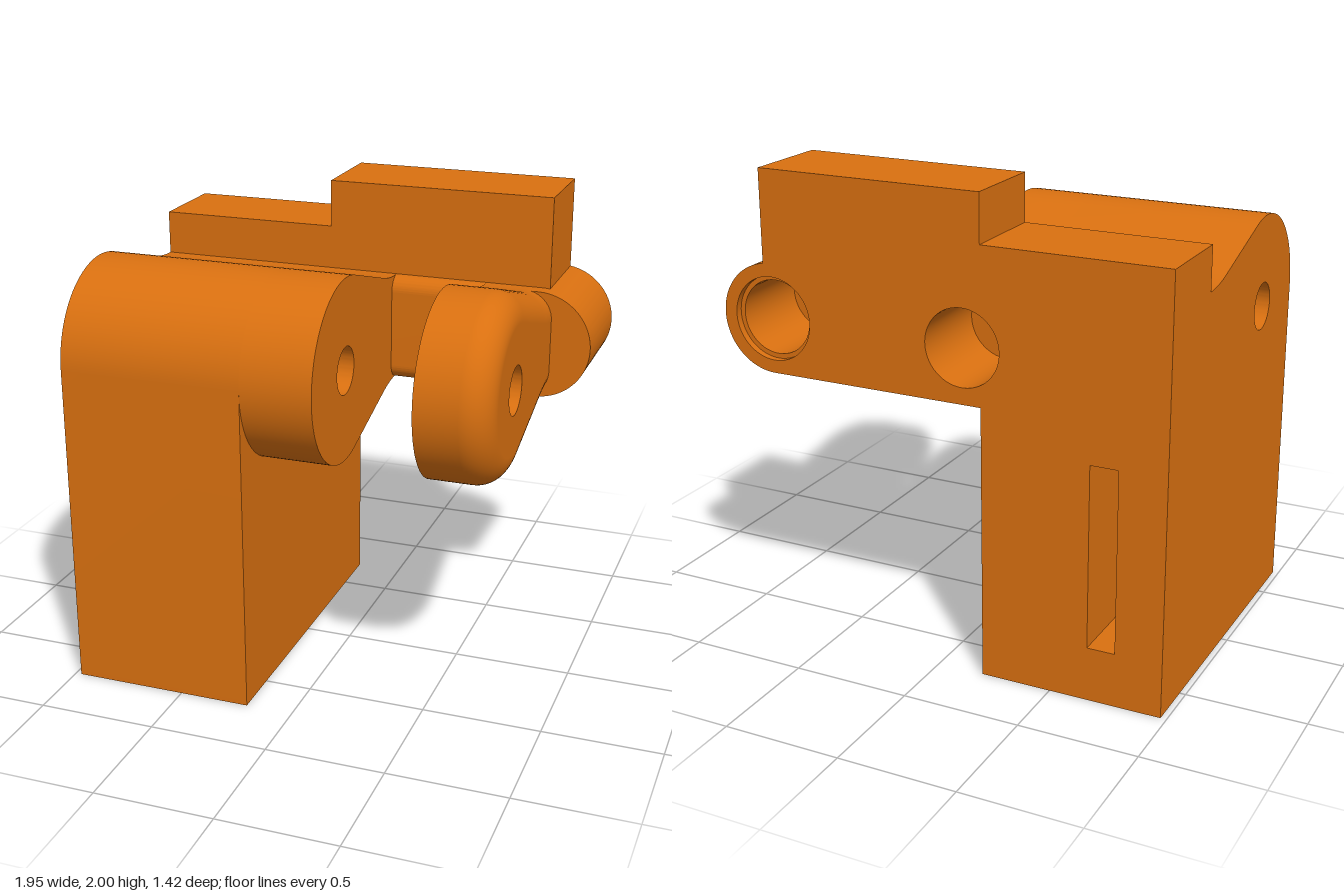
import * as THREE from 'three';
import { toCreasedNormals } from 'three/addons/utils/BufferGeometryUtils.js';

const PIVOT_Z = 0.33, MID_Y = 1.385, HEAD_R = 0.385, HALF_BAR = 0.23;
const BACK_Z = -0.71, SPLIT_Z = -0.32, BAR_Z = -0.255;

// Upper half of the arm outline in (z, y), with outward normals
function upperOutline() {
  const out = [], lean = THREE.MathUtils.degToRad(17), R = 0.575;
  for (let i = 0; i <= 28; i++) {
    const a = (Math.PI / 2 + lean) * i / 28, c = Math.cos(a), s = Math.sin(a);
    out.push({ z: PIVOT_Z + HEAD_R * c, y: MID_Y + HEAD_R * s, nz: c, ny: s });
  }
  for (let i = 0; i <= 8; i++) {
    const a = lean * (1 - i / 8), s = Math.sin(a), c = Math.cos(a);
    out.push({ z: SPLIT_Z + R * s, y: MID_Y + HALF_BAR + R * (1 - c), nz: -s, ny: c });
  }
  return out;
}

const upper = upperOutline();
const lower = upper.slice(1).reverse().map(p => ({ z: p.z, y: 2 * MID_Y - p.y, nz: p.nz, ny: -p.ny }));
const outline = [...lower, ...upper];

const circlePath = (x, y, r) => new THREE.Path().absarc(x, y, r, 0, Math.PI * 2, true);
const shapeOf = pts => new THREE.Shape(pts.map(([u, v]) => new THREE.Vector2(u, v)));

function extrude(shape, depth) {
  return toCreasedNormals(
    new THREE.ExtrudeGeometry(shape, { depth, bevelEnabled: false, curveSegments: 40 }), 0.5);
}
// A (z, y) shape swept from x0 to x1
const sweepX = (shape, x0, x1) => extrude(shape, x1 - x0).rotateY(-Math.PI / 2).translate(x1, 0, 0);
// An (x, y) shape swept from z0 to z1
const sweepZ = (shape, z0, z1) => extrude(shape, z1 - z0).translate(0, 0, z0);

// Arm outline shrunk by an inset, with the pivot hole
function armShape(inset = 0) {
  const s = shapeOf(outline.map(p => [p.z - p.nz * inset, p.y - p.ny * inset]));
  s.holes.push(circlePath(PIVOT_Z, MID_Y, 0.1));
  return s;
}

// Quarter-round edge that follows the arm outline
function roundedEdge(x0, r) {
  const pos = [], nor = [], idx = [], steps = 12, n = outline.length;
  for (let j = 0; j <= steps; j++) {
    const a = Math.PI / 2 * j / steps, c = Math.cos(a), s = Math.sin(a), inset = r * (1 - c);
    for (const p of outline) {
      pos.push(x0 + r * s, p.y - p.ny * inset, p.z - p.nz * inset);
      nor.push(s, p.ny * c, p.nz * c);
    }
  }
  for (let j = 0; j < steps; j++) for (let i = 0; i < n - 1; i++) {
    const a = j * n + i, b = a + n;
    idx.push(a, b, b + 1, a, b + 1, a + 1);
  }
  const g = new THREE.BufferGeometry();
  g.setAttribute('position', new THREE.Float32BufferAttribute(pos, 3));
  g.setAttribute('normal', new THREE.Float32BufferAttribute(nor, 3));
  g.setIndex(idx);
  return g;
}

export function createModel() {
  const group = new THREE.Group();
  const orange = new THREE.MeshStandardMaterial({ color: 0xd97010 });
  orange.name = 'orange';
  const add = (name, geometry) => {
    const m = new THREE.Mesh(geometry, orange);
    m.name = name;
    group.add(m);
  };

  // Back slab: stepped outline with a round end, two bores and a slot
  const tipX = 0.74, bottom = MID_Y - HALF_BAR;
  const slab = new THREE.Shape();
  slab.moveTo(-0.975, 0);
  slab.lineTo(-0.2, 0);
  slab.lineTo(-0.2, bottom);
  slab.lineTo(tipX, bottom);
  slab.absarc(tipX, MID_Y, HALF_BAR, -Math.PI / 2, Math.acos(0.035 / HALF_BAR), false);
  slab.lineTo(0.775, 2);
  slab.lineTo(-0.2, 2);
  slab.lineTo(-0.2, 1.8);
  slab.lineTo(-0.975, 1.8);
  slab.holes.push(
    circlePath(-0.12, MID_Y, 0.16),
    circlePath(tipX, MID_Y, 0.175),
    shapeOf([[-0.777, 0.23], [-0.777, 1.0], [-0.66, 1.0], [-0.66, 0.23]]));
  add('backSlab', sweepZ(slab, BACK_Z, SPLIT_Z));

  // Step inside the end bore
  const liner = new THREE.Shape().absarc(tipX, MID_Y, 0.175, 0, Math.PI * 2, false);
  liner.holes.push(circlePath(tipX, MID_Y, 0.155));
  add('boreStep', sweepZ(liner, BACK_Z + 0.03, SPLIT_Z));

  // Main block with its rounded top
  const block = shapeOf([[SPLIT_Z, 0], [PIVOT_Z + HEAD_R, 0], ...upper.map(p => [p.z, p.y])]);
  block.holes.push(circlePath(PIVOT_Z, MID_Y, 0.1));
  add('mainBlock', sweepX(block, -0.975, -0.2));

  // Inner arm beside the block
  add('innerArm', sweepX(armShape(), -0.2, 0.1));

  // Bar across the gap, front edges rounded
  const r = SPLIT_Z - BAR_Z, e = -r;
  const bar = new THREE.Shape();
  bar.moveTo(SPLIT_Z, bottom);
  bar.absarc(SPLIT_Z, bottom + e, e, -Math.PI / 2, 0, false);
  bar.absarc(SPLIT_Z, MID_Y + HALF_BAR - e, e, 0, Math.PI / 2, false);
  add('gapBar', sweepX(bar, 0.1, 0.5));

  // Outer arm with a rounded outside edge
  const edge = 0.12;
  add('outerArm', sweepX(armShape(), 0.5, 0.8 - edge));
  add('outerArmFace', sweepX(armShape(edge), 0.8 - edge, 0.8));
  add('outerArmEdge', roundedEdge(0.8 - edge, edge));

  // Front of the round bar end
  const tip = new THREE.Shape();
  tip.moveTo(0.5, bottom);
  tip.lineTo(tipX, bottom);
  tip.absarc(tipX, MID_Y, HALF_BAR, -Math.PI / 2, Math.PI / 2, false);
  tip.lineTo(0.5, MID_Y + HALF_BAR);
  add('barEnd', sweepZ(tip, SPLIT_Z, BAR_Z));

  return group;
}
